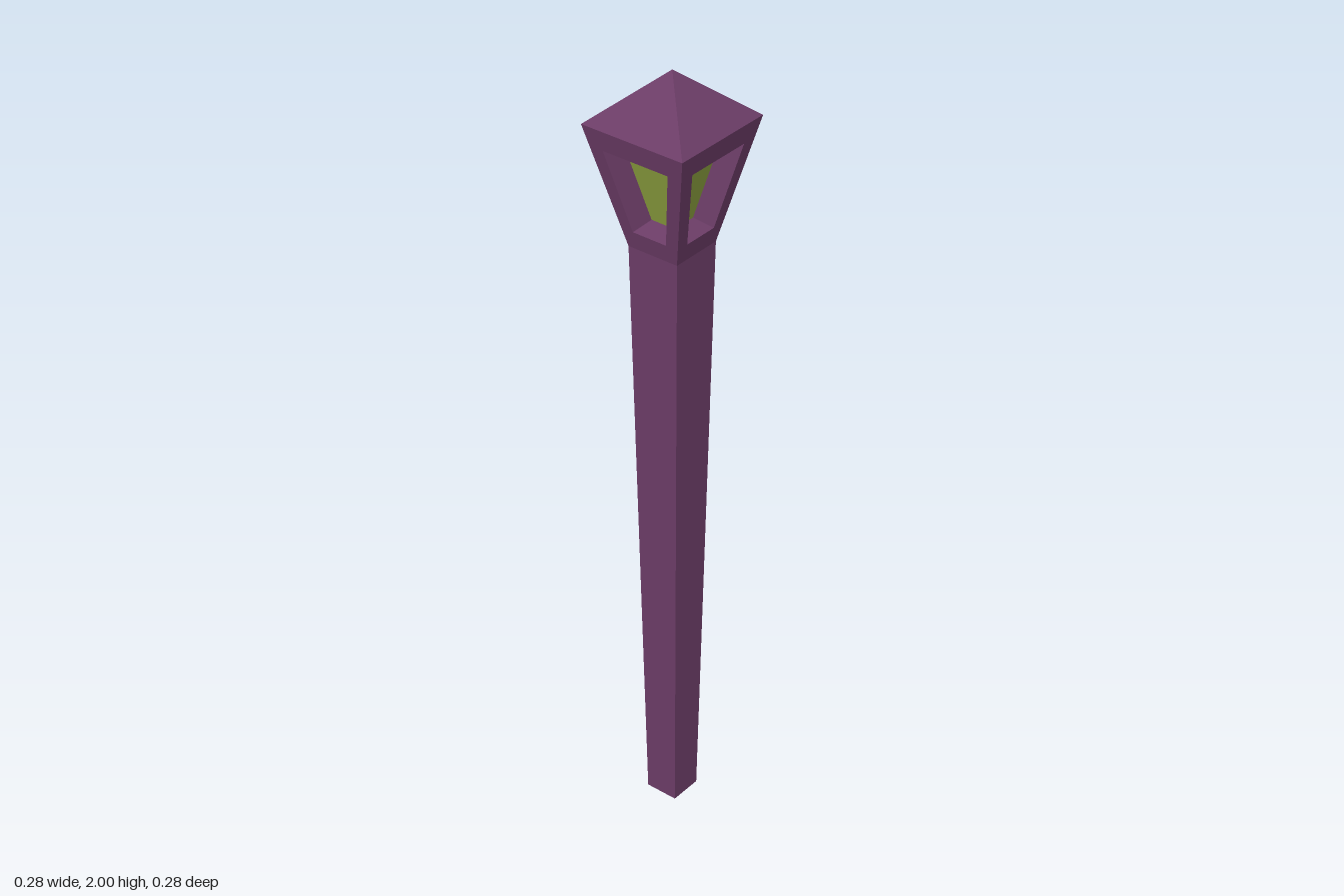
import * as THREE from 'three';

const purple = new THREE.MeshStandardMaterial({ color: 0x6b3c66, flatShading: true });
const green = new THREE.MeshStandardMaterial({ color: 0x8a9e3e, flatShading: true });

// Trapezoid facing +z, listed counter-clockwise from bottom left
const trapezoid = (bottom, top) => [
  [-bottom.half, bottom.y, bottom.z], [bottom.half, bottom.y, bottom.z],
  [top.half, top.y, top.z], [-top.half, top.y, top.z],
];

function quads(list) {
  const positions = list.flatMap(([a, b, c, d]) => [a, b, c, a, c, d].flat());
  const geometry = new THREE.BufferGeometry();
  geometry.setAttribute('position', new THREE.Float32BufferAttribute(positions, 3));
  geometry.computeVertexNormals();
  return geometry;
}

// Band of four quads joining an outer outline to an inner one
const band = (outer, inner) => quads(outer.map((p, i) => {
  const j = (i + 1) % 4;
  return [p, outer[j], inner[j], inner[i]];
}));

function part(name, geometry, material) {
  const mesh = new THREE.Mesh(geometry, material);
  mesh.name = name;
  return mesh;
}

// Four-sided tapered block with its sides square to the axes
function squareTaper(topHalf, bottomHalf, y0, y1, open) {
  const geometry = new THREE.CylinderGeometry(
    topHalf * Math.SQRT2, bottomHalf * Math.SQRT2, y1 - y0, 4, 1, open, Math.PI / 4);
  geometry.translate(0, (y0 + y1) / 2, 0);
  const flat = geometry.toNonIndexed();
  flat.computeVertexNormals();
  return flat;
}

export function createModel() {
  const model = new THREE.Group();
  model.name = 'lampPost';

  const neckY = 1.57, neckHalf = 0.069, eaveY = 1.88, eaveHalf = 0.14;
  const faceZ = (y) => THREE.MathUtils.mapLinear(y, neckY, eaveY, neckHalf, eaveHalf);

  // Post widens towards the lantern
  model.add(part('post', squareTaper(neckHalf, 0.043, 0, neckY, false), purple));

  // Outlines of one lantern side: the face, its opening and the recessed pane
  const face = trapezoid(
    { half: neckHalf, y: neckY, z: neckHalf }, { half: eaveHalf, y: eaveY, z: eaveHalf });
  const opening = trapezoid(
    { half: 0.047, y: 1.618, z: faceZ(1.618) }, { half: 0.09, y: 1.826, z: faceZ(1.826) });
  const glass = trapezoid(
    { half: 0.032, y: 1.634, z: 0.033 }, { half: 0.076, y: 1.836, z: 0.079 });

  const frameGeometry = band(face, opening);
  const recessGeometry = band(opening, glass);
  const glassGeometry = quads([glass]);

  // The four identical lantern sides
  for (let i = 0; i < 4; i++) {
    const side = new THREE.Group();
    side.name = 'lanternSide';
    side.add(
      part('windowFrame', frameGeometry, purple),
      part('windowRecess', recessGeometry, purple),
      part('windowPane', glassGeometry, green));
    side.rotation.y = i * Math.PI / 2;
    model.add(side);
  }

  // Pyramid roof
  model.add(part('roof', squareTaper(0, eaveHalf, eaveY, 2, false), purple));

  return model;
}
